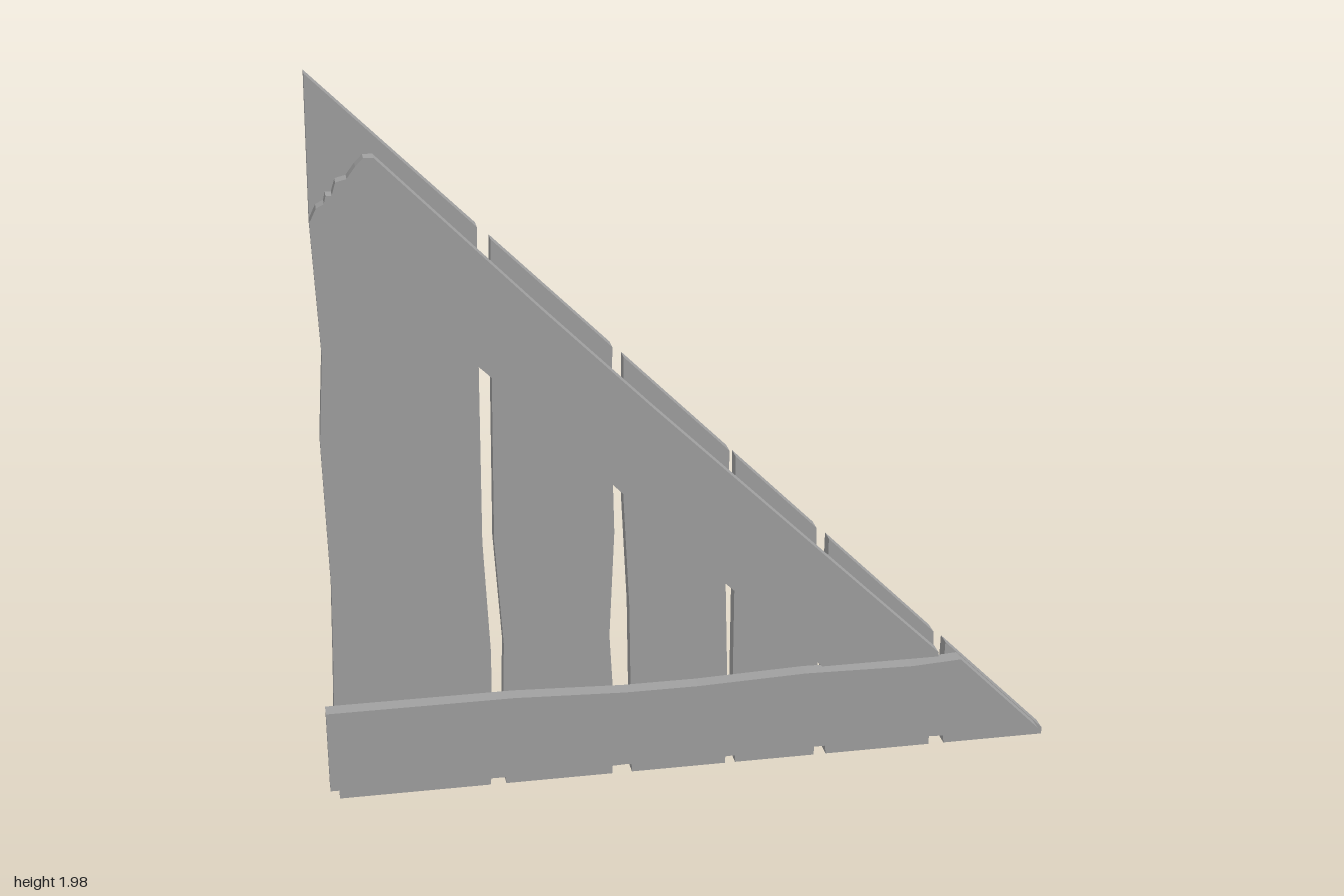
import * as THREE from 'three';

const wood = new THREE.MeshStandardMaterial({ color: 0xa0a0a0 });
wood.name = 'grey wood';

// Flat board cut from an outline in the xy plane, spanning z0..z1
function board(name, outline, z0, z1) {
  const shape = new THREE.Shape(outline.map(([x, y]) => new THREE.Vector2(x, y)));
  const geo = new THREE.ExtrudeGeometry(shape, { depth: z1 - z0, bevelEnabled: false });
  geo.translate(0, 0, z0);
  const mesh = new THREE.Mesh(geo, wood);
  mesh.name = name;
  return mesh;
}

export function createModel() {
  const group = new THREE.Group();
  group.name = 'triangularPlankPanel';

  // Upright planks: wavy left and right edges listed from the ground up;
  // the top ends all lie on the slope x + y = 1.02
  const slope = x => [x, 1.02 - x];
  const planks = [
    { left: [[-0.975, 0], [-0.98, 0.2], [-0.972, 0.4], [-0.965, 0.62], [-0.972, 1.03], [-0.955, 1.26], [-0.967, 1.6]], topLeft: -0.96,
      right: [[-0.568, 0], [-0.56, 0.06], [-0.555, 0.4], [-0.568, 0.72], [-0.562, 1.2]], topRight: -0.555 },
    { left: [[-0.525, 0], [-0.528, 0.2], [-0.52, 0.42], [-0.537, 0.72], [-0.53, 1.15]], topLeft: -0.522,
      right: [[-0.232, 0], [-0.225, 0.2], [-0.235, 0.42], [-0.218, 0.72], [-0.222, 1]], topRight: -0.217 },
    { left: [[-0.178, 0], [-0.18, 0.5], [-0.192, 0.8]], topLeft: -0.188,
      right: [[0.084, 0], [0.09, 0.2], [0.083, 0.55]], topRight: 0.092 },
    { left: [[0.112, 0], [0.104, 0.25], [0.108, 0.6]], topLeft: 0.108,
      right: [[0.336, 0], [0.345, 0.2]], topRight: 0.332 },
    { left: [[0.37, 0], [0.358, 0.25]], topLeft: 0.367,
      right: [[0.668, 0], [0.675, 0.2]], topRight: 0.67 },
    { left: [[0.712, 0], [0.7, 0.15]], topLeft: 0.706,
      right: [[1, 0]], topRight: 1 },
  ];
  planks.forEach((p, i) => {
    const outline = [...p.right, slope(p.topRight), slope(p.topLeft), ...[...p.left].reverse()];
    group.add(board('plank' + (i + 1), outline, -0.045, 0));
  });

  // Horizontal rail across the foot, its right end cut to the slope
  group.add(board('bottomRail', [
    [-1, 0.05], [-0.75, 0.047], [-0.4, 0.042], [-0.2, 0.05], [-0.02, 0.043], [0.25, 0.05], [0.65, 0.05], [0.82, 0.042], [0.972, 0.045],
    [0.738, 0.28], [0.6, 0.272], [0.3, 0.278], [0, 0.268], [-0.2, 0.268], [-0.5, 0.28], [-1, 0.28],
  ], 0, 0.046));

  // Diagonal brace with a splintered upper end
  group.add(board('diagonalBrace', [
    [0.345, 0.293], [0.675, 0.293], [0.675, 0.305], [0.3, 0.67], [-0.12, 1.08], [-0.4, 1.36], [-0.805, 1.775],
    [-0.83, 1.775], [-0.85, 1.755], [-0.865, 1.735], [-0.872, 1.725], [-0.9, 1.718], [-0.91, 1.685], [-0.925, 1.685],
    [-0.93, 1.665], [-0.95, 1.655], [-0.967, 1.62],
    [-0.72, 1.365], [-0.55, 1.205], [-0.2, 0.845], [0, 0.635], [0.2, 0.445],
  ], 0, 0.042));

  return group;
}
